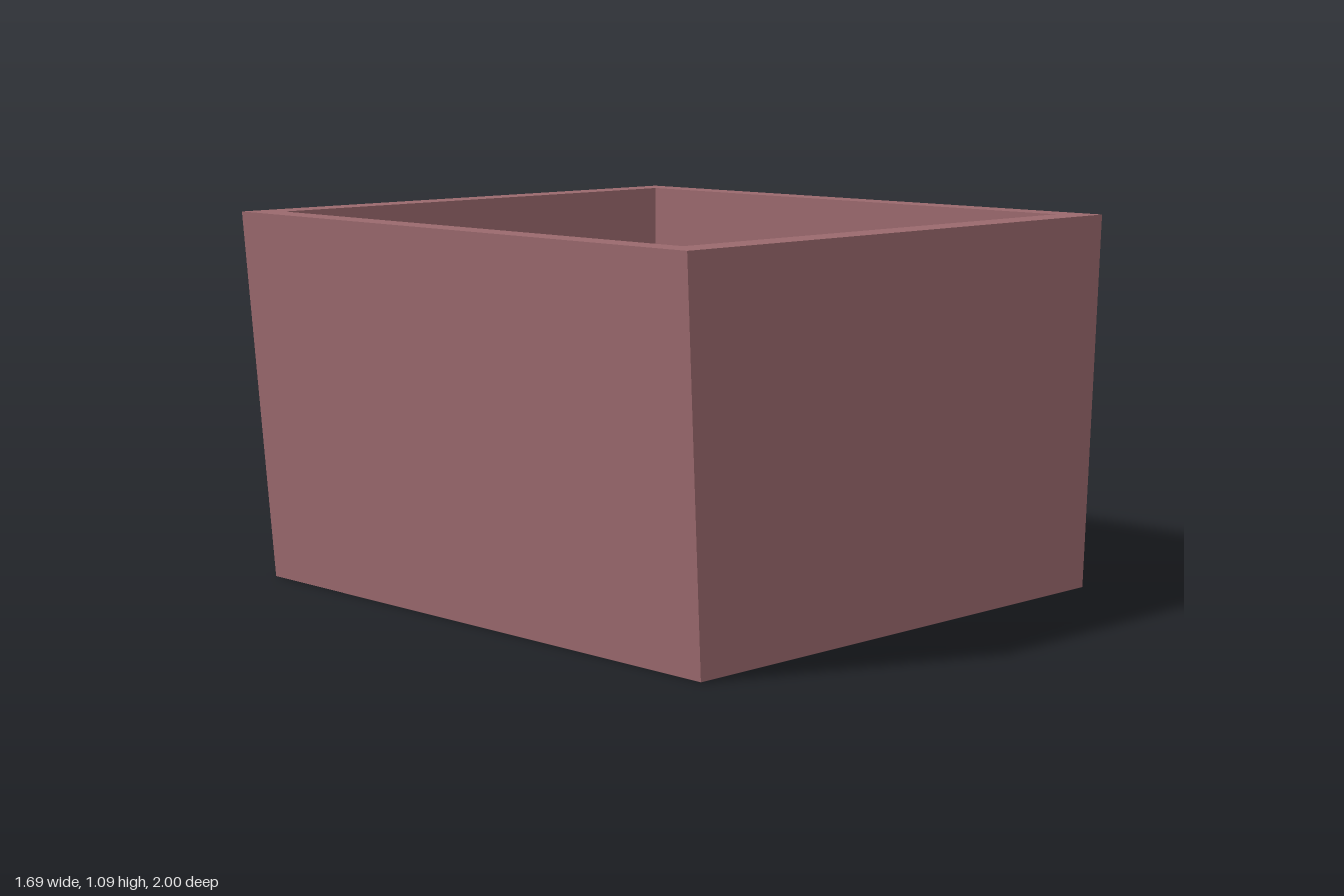
import * as THREE from 'three';

// Flat-shaded mesh from four-cornered faces, counter-clockwise seen from outside
function quadMesh(name, quads, material) {
  const positions = [];
  for (const [a, b, c, d] of quads) positions.push(...a, ...b, ...c, ...a, ...c, ...d);
  const geometry = new THREE.BufferGeometry();
  geometry.setAttribute('position', new THREE.Float32BufferAttribute(positions, 3));
  geometry.computeVertexNormals();
  const mesh = new THREE.Mesh(geometry, material);
  mesh.name = name;
  return mesh;
}

// Horizontal rectangle, corners ordered counter-clockwise seen from above
const rect = (x, y, back, front) => [[-x, y, front], [x, y, front], [x, y, back], [-x, y, back]];

// Strip of faces joining two four-cornered loops
const strip = (a, b) => a.map((p, i) => {
  const j = (i + 1) % 4;
  return [p, a[j], b[j], b[i]];
});

export function createModel() {
  const group = new THREE.Group();
  group.name = 'drawer';
  const wood = new THREE.MeshStandardMaterial({ color: 0x9a696d, flatShading: true });
  wood.name = 'dusty rose wood';

  // Tapered outer shell, rim, and slightly tapered cavity
  const base = rect(0.795, 0, -0.77, 1);
  const top = rect(0.847, 1.085, -0.83, 1);
  const opening = rect(0.76, 1.085, -0.74, 0.9);
  const floor = rect(0.745, 0.09, -0.725, 0.88);
  const walls = strip(base, top).filter((_, i) => i !== 2);
  group.add(quadMesh('outerWalls', [...walls, [...base].reverse()], wood));
  group.add(quadMesh('rim', strip(top, opening), wood));
  group.add(quadMesh('innerWalls', strip(opening, floor), wood));
  group.add(quadMesh('floor', [floor], wood));

  // Leaning back panel with a bevel on all four edges
  const edge = [base[2], base[3], top[3], top[2]];
  const panel = [[0.77, 0.028, -0.8], [-0.77, 0.028, -0.8], [-0.822, 1.058, -0.857], [0.822, 1.058, -0.857]];
  group.add(quadMesh('bevelledPanel', [...strip(edge, panel), panel], wood));

  // Six-sided pull knob: flange, neck and chamfered head
  const profile = [
    [0.092, 0.815], [0.092, 0.845], [0.075, 0.857], [0.036, 0.857], [0.036, 0.875],
    [0.052, 0.892], [0.075, 0.905], [0.075, 0.98], [0.055, 1], [0, 1],
  ].map(([r, d]) => new THREE.Vector2(r, d));
  const knob = new THREE.Mesh(new THREE.LatheGeometry(profile, 6, Math.PI / 2), wood);
  knob.name = 'knob';
  knob.rotation.x = -Math.PI / 2;
  knob.position.set(0.045, 0.513, 0);
  group.add(knob);

  return group;
}
